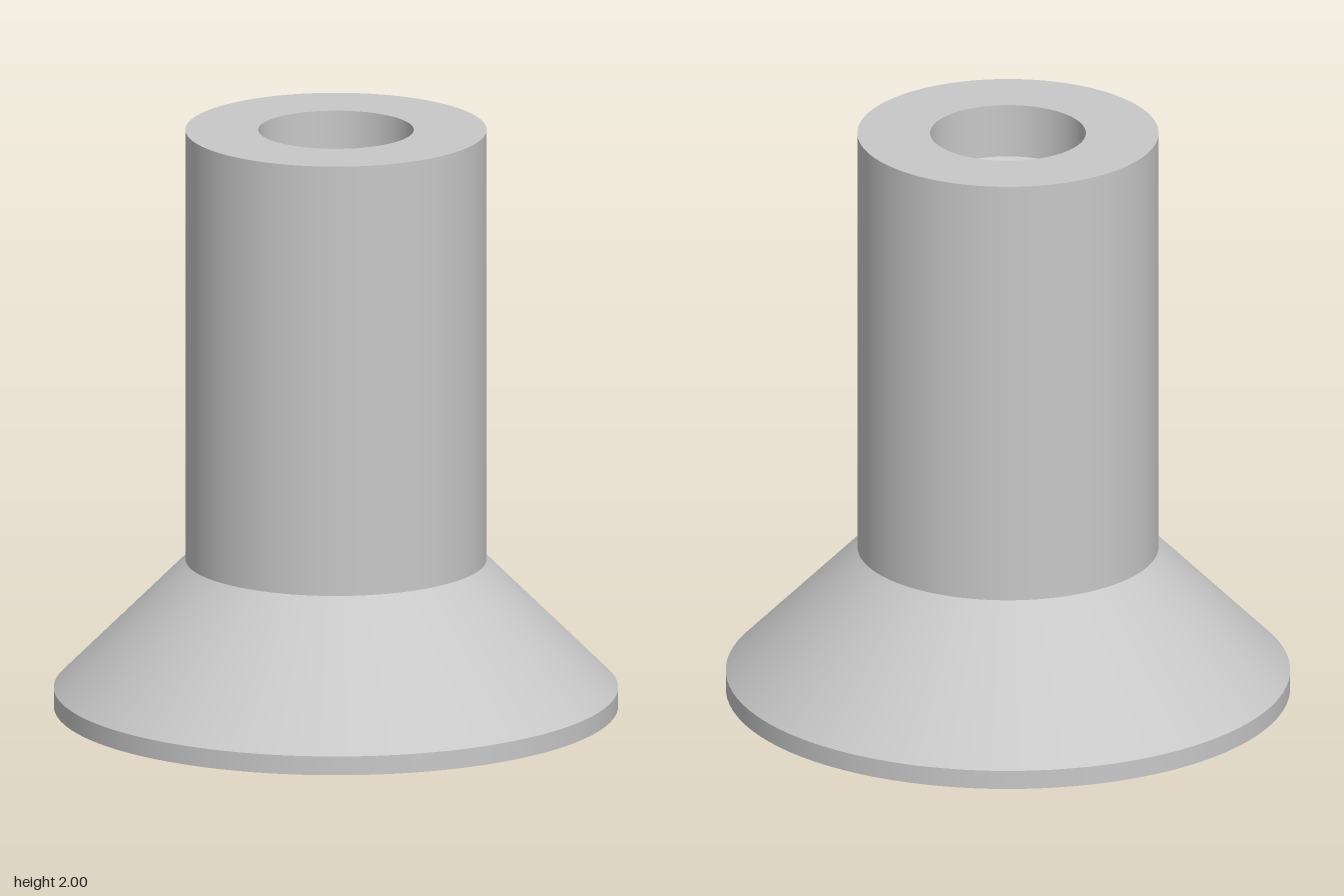
import * as THREE from 'three';

const SEGMENTS = 96;

export function createModel() {
  const model = new THREE.Group();
  model.name = 'suctionCup';
  const grey = new THREE.MeshStandardMaterial({ color: 0xc8c8c8 });
  grey.name = 'plain grey';

  // Each straight run of the profile is its own lathe band, so edges stay crisp.
  // Profiles run counter-clockwise (outside going up) so faces point outwards.
  function turned(name, profile) {
    const part = new THREE.Group();
    part.name = name;
    for (let i = 0; i < profile.length - 1; i++) {
      const points = [profile[i], profile[i + 1]].map(([r, y]) => new THREE.Vector2(r, y));
      const band = new THREE.Mesh(new THREE.LatheGeometry(points, SEGMENTS), grey);
      band.name = `${name}Band${i + 1}`;
      part.add(band);
    }
    model.add(part);
  }

  // Flat lip and sloping outside of the cup
  turned('cupRim', [[0.855, 0], [0.95, 0], [0.95, 0.065]]);
  turned('cupSkirt', [[0.95, 0.065], [0.507, 0.51]]);

  // Straight neck with its flat top ring
  turned('neck', [[0.507, 0.51], [0.507, 2], [0.262, 2]]);

  // Blind socket in the top, ending in a cone with a small flat
  turned('topSocket', [[0.262, 2], [0.262, 1.815], [0.05, 1.6], [0, 1.6]]);

  // Hollow underside: closed bore opening into the flared cup
  turned('innerBore', [[0, 1.5], [0.43, 1.5], [0.43, 0.425]]);
  turned('cupInside', [[0.43, 0.425], [0.855, 0]]);

  return model;
}
